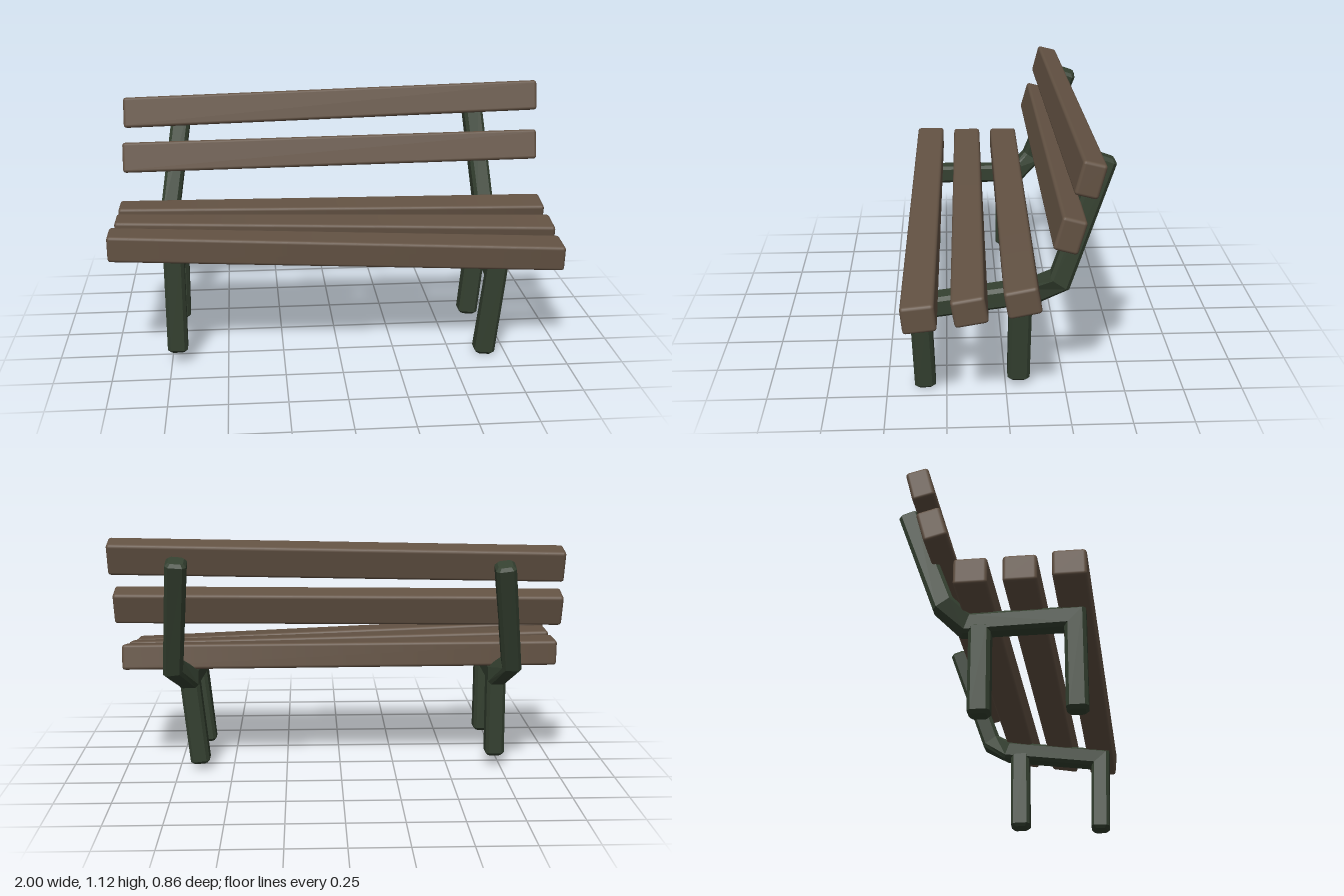
import * as THREE from 'three';
import { RoundedBoxGeometry } from 'three/addons/geometries/RoundedBoxGeometry.js';

const wood = new THREE.MeshStandardMaterial({ name: 'brown wood', color: 0x635243 });
const metal = new THREE.MeshStandardMaterial({ name: 'dark green metal', color: 0x344030 });

// Rounded plank whose two ends have their own centre [x, y, z] and tilt about x
function plank(name, height, depth, right, left, tiltRight, tiltLeft) {
  const a = new THREE.Vector3(...right), b = new THREE.Vector3(...left);
  const length = b.x - a.x, slope = b.clone().sub(a).divideScalar(length);
  const geo = new RoundedBoxGeometry(length, height, depth, 2, 0.014);
  const pos = geo.attributes.position, nor = geo.attributes.normal;
  const xAxis = new THREE.Vector3(1, 0, 0), v = new THREE.Vector3(), n = new THREE.Vector3();
  for (let i = 0; i < pos.count; i++) {
    v.fromBufferAttribute(pos, i);
    n.fromBufferAttribute(nor, i);
    const t = v.x / length + 0.5, tilt = THREE.MathUtils.lerp(tiltRight, tiltLeft, t);
    v.x = 0;
    v.applyAxisAngle(xAxis, tilt).add(a.clone().lerp(b, t));
    n.applyAxisAngle(xAxis, tilt);
    n.x -= slope.y * n.y + slope.z * n.z;
    n.normalize();
    pos.setXYZ(i, v.x, v.y, v.z);
    nor.setXYZ(i, n.x, n.y, n.z);
  }
  const mesh = new THREE.Mesh(geo, wood);
  mesh.name = name;
  return mesh;
}

// Chamfered square bar swept along a path with mitred corners
function bar(name, path, width, thick) {
  const c = 0.014, pts = path.map(p => new THREE.Vector3(...p)), last = pts.length - 1;
  const w = width / 2, h = thick / 2;
  const section = [[w, c - h], [w, h - c], [w - c, h], [c - w, h], [-w, h - c], [-w, c - h], [c - w, -h], [w - c, -h]];
  const verts = [], index = [], n = section.length;
  const ring = (p, t, scale, stretch) => {
    const s = new THREE.Vector3(1, 0, 0).addScaledVector(t, -t.x).normalize();
    const u = t.clone().cross(s);
    for (const [x, y] of section) {
      const v = p.clone().addScaledVector(s, x * scale).addScaledVector(u, y * scale * stretch);
      verts.push(v.x, v.y, v.z);
    }
  };
  pts.forEach((p, i) => {
    const before = p.clone().sub(pts[Math.max(i - 1, 0)]).normalize();
    const after = pts[Math.min(i + 1, last)].clone().sub(p).normalize();
    const t = before.clone().add(after).normalize();
    if (i === 0) ring(p, t, 0.72, 1);
    if (i === 0 || i === last) ring(p.clone().addScaledVector(t, i ? -c : c), t, 1, 1);
    else ring(p, t, 1, 1 / t.dot(after));
    if (i === last) ring(p, t, 0.72, 1);
  });
  const rings = verts.length / 3 / n;
  for (let r = 0; r < rings - 1; r++) {
    for (let j = 0; j < n; j++) {
      const k = (j + 1) % n, o = r * n;
      index.push(o + j, o + k, o + n + k, o + j, o + n + k, o + n + j);
    }
  }
  const end = (rings - 1) * n;
  for (let j = 1; j < n - 1; j++) index.push(0, j + 1, j, end, end + j, end + j + 1);
  const indexed = new THREE.BufferGeometry();
  indexed.setAttribute('position', new THREE.Float32BufferAttribute(verts, 3));
  indexed.setIndex(index);
  const geo = indexed.toNonIndexed();
  geo.computeVertexNormals();
  const mesh = new THREE.Mesh(geo, metal);
  mesh.name = name;
  return mesh;
}

export function createModel() {
  const bench = new THREE.Group();
  bench.name = 'bench';

  // Seat planks, level at the right end and sagging at the left
  bench.add(
    plank('frontSeatPlank', 0.115, 0.135, [-1, 0.56, 0.323], [0.985, 0.472, 0.354], 0, 0.1),
    plank('middleSeatPlank', 0.115, 0.135, [-0.985, 0.558, 0.13], [0.99, 0.502, 0.155], 0, 0.17),
    plank('rearSeatPlank', 0.115, 0.135, [-0.985, 0.557, -0.064], [0.99, 0.537, -0.052], 0, 0.19),
    // Backrest planks, leaning back
    plank('lowerBackPlank', 0.14, 0.1, [-0.97, 0.793, -0.225], [0.99, 0.815, -0.228], -0.27, -0.27),
    plank('upperBackPlank', 0.14, 0.095, [-0.96, 0.995, -0.28], [0.997, 1.04, -0.298], -0.25, -0.25)
  );

  // Left frame: front leg, seat rail and back upright in one bar, plus rear leg
  const leftFrame = new THREE.Group();
  leftFrame.name = 'leftFrame';
  leftFrame.add(
    bar('frontLegRailAndUpright', [[0.652, 0.003, 0.34], [0.693, 0.39, 0.352], [0.69, 0.45, -0.115],
      [0.748, 0.525, -0.215], [0.7, 1.035, -0.393]], 0.09, 0.088),
    bar('rearLeg', [[0.652, 0.028, -0.055], [0.692, 0.44, -0.06]], 0.088, 0.094)
  );

  // Right frame, standing straighter and a little higher
  const rightFrame = new THREE.Group();
  rightFrame.name = 'rightFrame';
  rightFrame.add(
    bar('frontLegRailAndUpright', [[-0.722, 0.055, 0.325], [-0.722, 0.457, 0.325], [-0.716, 0.457, -0.12],
      [-0.762, 0.53, -0.205], [-0.69, 1.01, -0.378]], 0.088, 0.088),
    bar('rearLeg', [[-0.722, 0.055, -0.06], [-0.718, 0.45, -0.06]], 0.086, 0.09)
  );
  bench.add(leftFrame, rightFrame);
  return bench;
}
